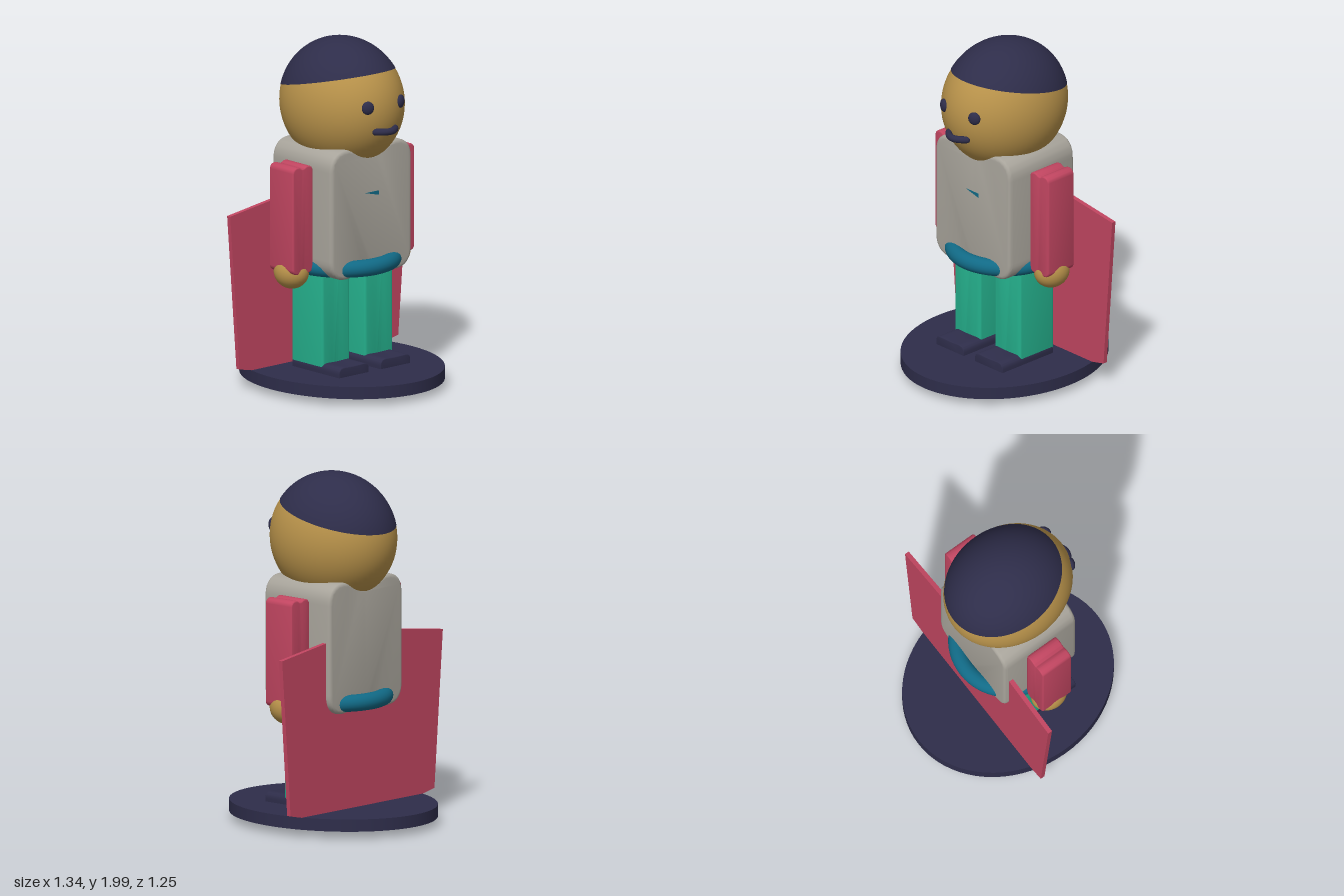
import * as THREE from 'three';
import { toCreasedNormals } from 'three/addons/utils/BufferGeometryUtils.js';

const paint = (name, color) => {
  const m = new THREE.MeshStandardMaterial({ color });
  m.name = name;
  return m;
};

// Rounded block: corners of radius r swell above a shallow dip in the middle
function softBlock(width, height, depth, r, dip, bevel) {
  const w = width / 2 - bevel, h = height / 2 - bevel;
  const s = new THREE.Shape();
  s.moveTo(-w, -h + r);
  s.lineTo(-w, h - r);
  s.quadraticCurveTo(-w, h, -w + r, h);
  s.bezierCurveTo(-w + r * 1.6, h, -w * 0.3, h - dip, 0, h - dip);
  s.bezierCurveTo(w * 0.3, h - dip, w - r * 1.6, h, w - r, h);
  s.quadraticCurveTo(w, h, w, h - r);
  s.lineTo(w, -h + r);
  s.quadraticCurveTo(w, -h, w - r, -h);
  s.bezierCurveTo(w - r * 1.6, -h, w * 0.3, -h + dip, 0, -h + dip);
  s.bezierCurveTo(-w * 0.3, -h + dip, -w + r * 1.6, -h, -w + r, -h);
  s.quadraticCurveTo(-w, -h, -w, -h + r);
  const g = new THREE.ExtrudeGeometry(s, {
    depth: depth - 2 * bevel, bevelEnabled: true, bevelSize: bevel,
    bevelThickness: bevel, bevelSegments: 3, curveSegments: 10,
  });
  g.translate(0, 0, -depth / 2 + bevel);
  return toCreasedNormals(g, 0.6);
}

function plate(points, depth) {
  const shape = new THREE.Shape(points.map(([x, y]) => new THREE.Vector2(x, y)));
  return new THREE.ExtrudeGeometry(shape, { depth, bevelEnabled: false });
}

export function createModel() {
  const navy = paint('navy', 0x2e2d4a);
  const skin = paint('tan skin', 0xb8924a);
  const grey = paint('warm grey', 0xa8a49b);
  const red = paint('crimson', 0xc04560);
  const green = paint('green', 0x25b18d);
  const teal = paint('teal', 0x116a86);

  const model = new THREE.Group();
  model.name = 'figurine';
  const add = (name, geometry, material, x = 0, y = 0, z = 0) => {
    const mesh = new THREE.Mesh(geometry, material);
    mesh.name = name;
    mesh.position.set(x, y, z);
    model.add(mesh);
    return mesh;
  };

  // Oval stand
  add('base', new THREE.CylinderGeometry(1, 1, 0.07, 72).scale(0.535, 1, 0.625), navy, 0, 0.085, 0);

  // Head, with a tilted cap of hair cut from the same ellipsoid
  add('head', new THREE.SphereGeometry(1, 64, 40).scale(0.325, 0.369, 0.384), skin, 0, 1.63, 0);
  const hair = new THREE.SphereGeometry(1, 64, 24, 0, Math.PI * 2, 0, 1.176);
  add('hair', hair.rotateX(-0.234).scale(0.327, 0.371, 0.386), navy, 0, 1.63, 0);

  // Mouth: curved bar with round ends
  const lip = new THREE.QuadraticBezierCurve3(
    new THREE.Vector3(-0.072, 0, 0.362),
    new THREE.Vector3(0, 0, 0.448),
    new THREE.Vector3(0.072, 0, 0.362));
  add('mouth', new THREE.TubeGeometry(lip, 20, 0.02, 12), navy, 0, 1.528, 0);

  // Torso, chest badge and belt
  add('torso', softBlock(0.61, 0.75, 0.5, 0.1, 0.055, 0.02), grey, 0, 1.045, 0);
  add('chestBadge', plate([[-0.05, 1.15], [0.05, 1.125], [0.05, 1.15]], 0.004), teal, 0, 0, 0.248);
  add('belt', new THREE.TorusGeometry(0.288, 0.048, 20, 64).rotateX(Math.PI / 2), teal, 0, 0.727, 0);

  // Cape, passing through the back of the torso
  const cape = [[0, 0.01], [0.6, 0.14], [0.67, 1.035], [0.3, 1.087], [-0.3, 1.087], [-0.67, 1.035], [-0.6, 0.14]];
  add('cape', plate(cape, 0.026), red, 0, 0, -0.22);

  // Paired parts
  for (const [side, s] of [['left', 1], ['right', -1]]) {
    const eye = add(side + 'Eye', new THREE.SphereGeometry(1, 24, 16).scale(0.036, 0.038, 0.02), navy, s * 0.123, 1.673, 0.353);
    eye.rotation.y = s * 0.45;
    add(side + 'MouthEnd', new THREE.SphereGeometry(0.02, 12, 10), navy, s * 0.072, 1.528, 0.362);
    add(side + 'Arm', softBlock(0.152, 0.62, 0.2, 0.03, 0.012, 0.008), red, s * 0.384, 1.02, 0);
    add(side + 'Hand', new THREE.SphereGeometry(1, 32, 20).scale(0.092, 0.095, 0.108), skin, s * 0.383, 0.706, 0);
    add(side + 'Leg', softBlock(0.208, 0.76, 0.257, 0.04, 0.012, 0.01), green, s * 0.162, 0.39, 0.002);
    add(side + 'Foot', softBlock(0.225, 0.115, 0.395, 0.035, 0.002, 0.004), navy, s * 0.157, 0.118, 0.077);
  }
  return model;
}
